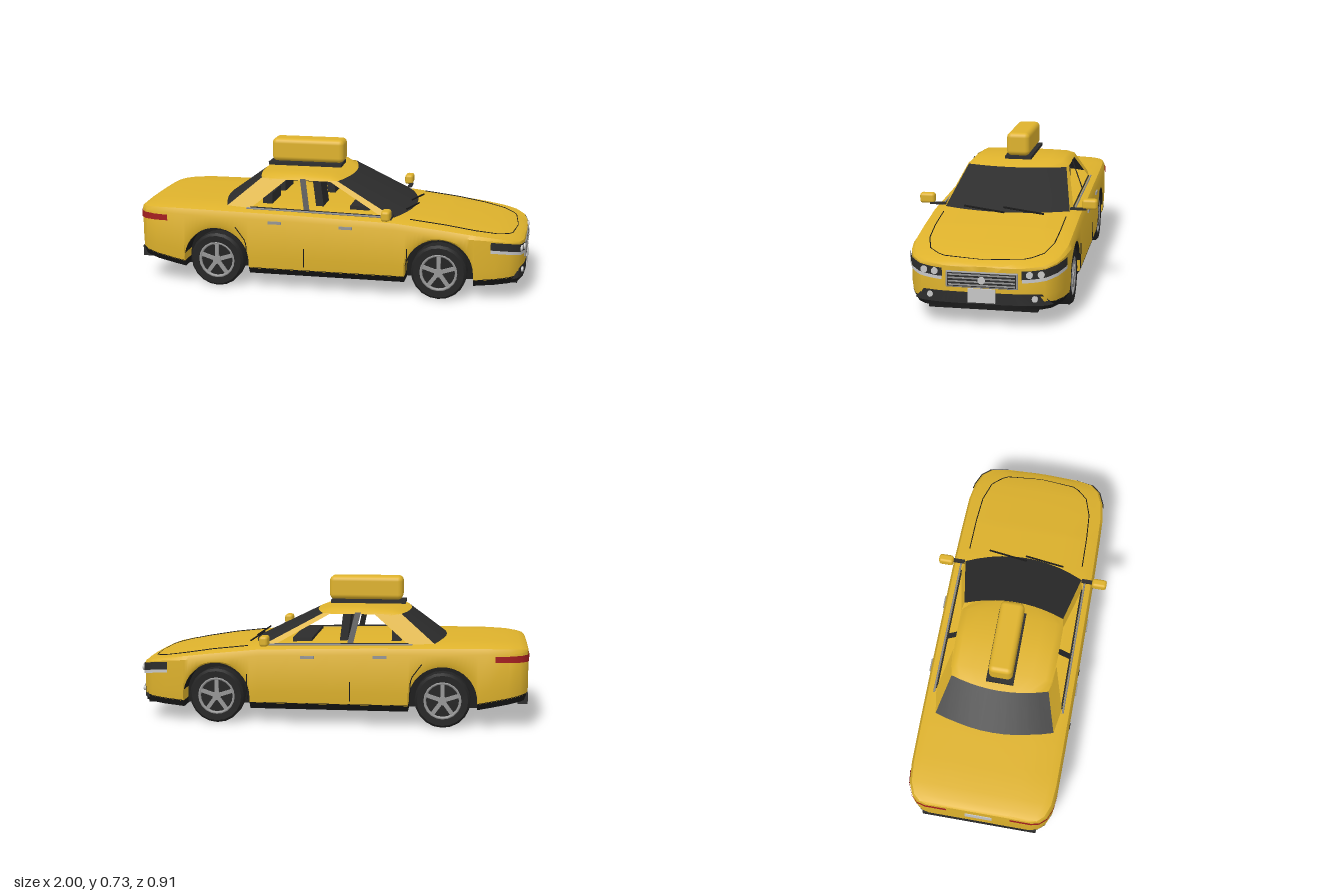
import * as THREE from 'three';
import { toCreasedNormals } from 'three/addons/utils/BufferGeometryUtils.js';
import { RoundedBoxGeometry } from 'three/addons/geometries/RoundedBoxGeometry.js';

const mat = (name, color) => new THREE.MeshStandardMaterial({ name, color, side: THREE.DoubleSide });
const yellow = mat('yellow paint', 0xdeb22c);
const glass = mat('dark glass', 0x2c2c2c);
const black = mat('black underside', 0x191919);
const rubber = mat('tyre rubber', 0x242424);
const silver = mat('silver', 0x969696);
const pale = mat('pale lamp', 0xc6c6c6);
const red = mat('red lamp', 0xa51f20);

// Body stations along the car: x, half width, deck height, shoulder depth
const plan = [
  [-1, 0.27, 0.395, 0.015], [-0.99, 0.31, 0.405, 0.02], [-0.96, 0.345, 0.413, 0.03], [-0.9, 0.37, 0.42, 0.04],
  [-0.8, 0.38, 0.424, 0.045], [-0.6, 0.383, 0.424, 0.05], [-0.2, 0.385, 0.418, 0.05], [0.35, 0.385, 0.404, 0.05],
  [0.6, 0.382, 0.376, 0.045], [0.75, 0.378, 0.352, 0.03], [0.85, 0.362, 0.335, 0.02], [0.92, 0.335, 0.32, 0.015],
  [0.965, 0.29, 0.304, 0.012], [0.985, 0.2, 0.294, 0.01], [0.99, 0.1, 0.29, 0.01],
];
const sillPts = [[-1, 0.175], [-0.745, 0.125], [-0.405, 0.11], [0.745, 0.11], [0.99, 0.128]];
const WX = 0.575, WY = 0.14, ARCH = 0.172;

function lookup(table, x, col) {
  let i = 0;
  while (i < table.length - 2 && x > table[i + 1][0]) i++;
  const a = table[i], b = table[i + 1];
  return THREE.MathUtils.lerp(a[col], b[col], THREE.MathUtils.clamp((x - a[0]) / (b[0] - a[0]), 0, 1));
}
const width = (x) => lookup(plan, x, 1);
const deck = (x) => lookup(plan, x, 2);
const sill = (x) => lookup(sillPts, x, 1);
function lowerEdge(x) {
  const d = Math.abs(Math.abs(x) - WX);
  return d < ARCH ? Math.max(sill(x), WY + Math.sqrt(ARCH * ARCH - d * d)) : sill(x);
}
// Nose position at a given distance from the centre line
const noseX = (z) => lookup(plan.slice(9).reverse().map((p) => [p[1], p[0]]), Math.abs(z), 1);

// Surface through rows of points
function surface(rows, closed = false, crease = 0.6) {
  const n = rows[0].length, idx = [];
  for (let i = 0; i < rows.length - 1; i++)
    for (let j = 0; j < (closed ? n : n - 1); j++) {
      const k = (j + 1) % n, a = i * n, b = a + n;
      idx.push(a + j, b + j, b + k, a + j, b + k, a + k);
    }
  const g = new THREE.BufferGeometry();
  g.setAttribute('position', new THREE.Float32BufferAttribute(rows.flat(2), 3));
  g.setIndex(idx);
  return toCreasedNormals(g, crease);
}
// Closed loft from mirrored half sections [y, z], capped at both ends
function loft(xs, section) {
  const rows = xs.map((x) => {
    const h = section(x);
    return [...h.map(([y, z]) => [x, y, z]), ...h.slice().reverse().map(([y, z]) => [x, y, -z])];
  });
  const cap = (r) => r.map(() => [r[0][0], (r[0][1] + r[r.length / 2][1]) / 2, 0]);
  return surface([cap(rows[0]), ...rows, cap(rows[rows.length - 1])], true);
}
const span = (a, b, n) => Array.from({ length: n + 1 }, (_, i) => a + ((b - a) * i) / n);

export function createModel() {
  const car = new THREE.Group();
  car.name = 'taxi';
  function add(name, geo, material, x = 0, y = 0, z = 0, parent = car) {
    const m = new THREE.Mesh(geo, material);
    m.name = name;
    m.position.set(x, y, z);
    parent.add(m);
    return m;
  }
  const box = (name, m, w, h, d, x, y, z, parent) => add(name, new THREE.BoxGeometry(w, h, d), m, x, y, z, parent);
  const line = (name, m, pts, r = 0.0025) => {
    const path = new THREE.CurvePath();
    const v = pts.map((p) => new THREE.Vector3(...p));
    for (let i = 1; i < v.length; i++) path.add(new THREE.LineCurve3(v[i - 1], v[i]));
    return add(name, new THREE.TubeGeometry(path, (v.length - 1) * 4, r, 4), m);
  };

  // Body shell with wheel arches
  const archXs = [-WX, WX].flatMap((c) => [c - ARCH - 0.001, ...span(0, Math.PI, 20).map((a) => c - Math.cos(a) * ARCH * 0.9999), c + ARCH + 0.001]);
  const bodyXs = [...plan.map((p) => p[0]), ...archXs, -0.4, 0, 0.2].sort((a, b) => a - b);
  add('body', loft(bodyXs, (x) => {
    const w = width(x), t = deck(x), s = t - lookup(plan, x, 3), b = lowerEdge(x);
    return [[b, w - 0.006], [b + (s - b) * 0.25, w], [s, w], [t - (t - s) * 0.4, w * 0.965], [t - 0.006, w * 0.86], [t, w * 0.5], [t + 0.001, 0.01]];
  }), yellow);

  // Underbody and sills
  const under = (x) => [[sill(x) - 0.032, width(x) * 0.93], [sill(x) + 0.004, width(x) - 0.004]];
  [[-1, -0.748], [-0.402, 0.402], [0.748, 0.99]].forEach(([a, b]) => {
    const xs = [a, ...plan.map((p) => p[0]).filter((x) => x > a && x < b), b];
    add('underbody', loft(xs, under), black);
  });
  box('chassis', black, 1.52, 0.23, 0.53, 0, 0.2, 0);
  box('frontSkirt', black, 0.2, 0.03, 0.51, 0.86, 0.092, 0);
  box('rearBumper', glass, 0.05, 0.055, 0.6, -0.975, 0.147, 0);

  // Wheels and wheel wells
  const tyre = new THREE.LatheGeometry([[0.095, -0.045], [0.128, -0.046], [0.14, -0.032], [0.14, 0.032], [0.128, 0.046], [0.095, 0.045]]
    .map(([r, y]) => new THREE.Vector2(r, y)), 20).rotateX(Math.PI / 2);
  const hub = new THREE.CylinderGeometry(0.022, 0.022, 0.02, 12).rotateX(Math.PI / 2);
  const disc = new THREE.CylinderGeometry(0.098, 0.098, 0.05, 20).rotateX(Math.PI / 2);
  for (const x of [-WX, WX]) for (const s of [-1, 1]) {
    const w = new THREE.Group();
    w.name = 'wheel';
    w.position.set(x, WY, s * 0.326);
    if (s < 0) w.rotation.y = Math.PI;
    car.add(w);
    add('tyre', toCreasedNormals(tyre, 0.5), rubber, 0, 0, 0, w);
    add('rimDisc', disc, rubber, 0, 0, 0.008, w);
    add('rimRing', new THREE.TorusGeometry(0.09, 0.008, 6, 20), silver, 0, 0, 0.037, w);
    add('hub', hub, silver, 0, 0, 0.037, w);
    for (let k = 0; k < 5; k++) {
      const a = Math.PI / 2 + (k * Math.PI * 2) / 5;
      const spoke = box('spoke', silver, 0.078, 0.02, 0.01, Math.cos(a) * 0.052, Math.sin(a) * 0.052, 0.037, w);
      spoke.rotation.z = a;
    }
    const arch = span(0, Math.PI, 20).map((t) => x - Math.cos(t) * (ARCH - 0.003));
    add('wheelWell', surface(arch.map((u) => [0.2, width(u) - 0.004].map((z) => [u, lowerEdge(u) - 0.003, s * z]))), black);
  }

  // Windscreen and rear window, bowed across the car
  const ts = span(-1, 1, 10);
  const bow = (x, k, y, z) => ts.map((t) => [x - k * t * t, y, z * t]);
  const screenTop = bow(0.09, 0.05, 0.56, 0.26), rearTop = bow(-0.4, -0.04, 0.56, 0.25);
  add('windscreen', surface([bow(0.415, 0.075, 0.4, 0.318), screenTop]), glass);
  add('rearWindow', surface([rearTop, bow(-0.595, -0.065, 0.418, 0.308)]), glass);

  // Roof
  const roofZ = [-1, -0.94, -0.86, -0.6, -0.3, 0, 0.3, 0.6, 0.86, 0.94, 1];
  const roofY = [0.558, 0.573, 0.583, 0.586, 0.587, 0.588];
  const roofRow = (x, z, drop) => roofZ.map((t, i) => [x, roofY[Math.min(i, 10 - i)] - drop, z * t]);
  add('roof', surface([rearTop, roofRow(-0.31, 0.262, 0.005), roofRow(-0.15, 0.268, 0), roofRow(0, 0.268, 0.001), screenTop], false, 0.9), yellow);

  for (const s of [-1, 1]) {
    // Pillars and window frame
    const quad = (name, m, a, b, c, d) => add(name, surface([[a, b], [d, c]].map((r) => r.map(([x, y, z]) => [x, y, z * s]))), m);
    quad('frontPillar', yellow, [0.34, 0.4, 0.318], [0.04, 0.56, 0.26], [-0.005, 0.562, 0.268], [0.285, 0.4, 0.33]);
    quad('rearPillar', yellow, [-0.53, 0.418, 0.308], [-0.36, 0.56, 0.25], [-0.22, 0.562, 0.268], [-0.4, 0.415, 0.33]);
    quad('rearRoofCorner', yellow, [-0.36, 0.56, 0.25], [-0.31, 0.556, 0.262], [-0.22, 0.562, 0.268], [-0.3, 0.55, 0.26]);
    quad('middlePillar', glass, [-0.155, 0.565, 0.267], [-0.125, 0.565, 0.267], [-0.09, 0.41, 0.33], [-0.12, 0.41, 0.33]);
    line('beltTrim', silver, [[-0.42, 0.416, s * 0.338], [0.32, 0.404, s * 0.338]], 0.005);
    line('windowSeal', glass, [[-0.4, 0.42, s * 0.328], [0.28, 0.407, s * 0.328]], 0.004);

    // Seats
    box('frontSeat', glass, 0.04, 0.14, 0.13, -0.07, 0.48, s * 0.15).rotation.z = 0.12;
    box('rearSeat', glass, 0.05, 0.06, 0.18, -0.335, 0.445, s * 0.14);

    // Mirror
    add('mirror', new RoundedBoxGeometry(0.045, 0.052, 0.078, 2, 0.014), yellow, 0.316, 0.436, s * 0.416);
    box('mirrorArm', glass, 0.02, 0.01, 0.08, 0.33, 0.412, s * 0.36);

    // Door seams and handles
    const seam = (pts) => line('doorSeam', black, pts.map(([x, y]) => [x, y, s * (width(x) + 0.0005)]));
    seam([[-0.11, 0.13], [-0.11, 0.23]]);
    seam([[-0.47, 0.325], [-0.415, 0.25], [-0.41, 0.13]]);
    seam([[0.415, 0.13], [0.415, 0.26]]);
    for (const [x, y] of [[0.105, 0.35], [-0.26, 0.358]]) box('doorHandle', silver, 0.068, 0.014, 0.012, x, y, s * 0.386);

    // Bonnet seam and wiper
    line('bonnetSeam', black, [[0.42, 0.31], [0.6, 0.308], [0.75, 0.3], [0.86, 0.268], [0.925, 0.2], [0.945, 0]]
      .map(([x, z]) => [x, deck(x) - (z > 0.25 ? 0.003 : 0), s * z]));
    line('wiper', black, [[0.425, 0.402, s * 0.1 - 0.1], [0.39, 0.42, s * 0.1 + 0.11]], 0.005);

    // Headlight bands wrapped round the nose
    const zs = [0.18, 0.2, 0.23, 0.26, 0.29, 0.3125, 0.335, 0.35, 0.362, 0.366];
    const band = (y0, y1, out) => surface(zs.map((z) => {
      const t = (z - 0.18) / 0.186, e = t * t * 0.032;
      return [y0, y1].map((y) => [noseX(z) + out, y + e, s * (z + out)]);
    }));
    add('headlightBand', band(0.238, 0.279, 0.005), glass);
    add('indicatorStrip', band(0.224, 0.24, 0.006), pale);
    const lamp = (name, r, y, z) => add(name, new THREE.CylinderGeometry(r, r, 0.014, 12).rotateZ(Math.PI / 2), pale, noseX(z) + 0.006, y, s * z);
    lamp('headlamp', 0.016, 0.262, 0.22);
    lamp('headlamp', 0.016, 0.264, 0.272);
    lamp('fogLamp', 0.014, 0.148, 0.244);

    // Tail light wrapped round the rear corner
    const tail = [[-1, 0.16], [-1, 0.27], [-0.99, 0.31], [-0.96, 0.345], [-0.9, 0.37], [-0.83, 0.3785]];
    add('tailLight', surface(tail.map(([x, z], i) => [0.335 + i * 0.001, 0.375 - i * 0.001].map((y) => [x - 0.003, y, s * (z + 0.003)]))), red);
  }

  // Lower intake, grille and plates
  add('lowerIntake', surface(span(-1, 1, 24).map((t) => [[0.325, 0.115], [0.275, 0.17]]
    .map(([z, y]) => [noseX(z * t) + 0.005, y, z * t]))), glass);
  add('grilleFrame', new RoundedBoxGeometry(0.014, 0.078, 0.336, 2, 0.006), silver, 0.988, 0.228, 0);
  box('grille', glass, 0.004, 0.064, 0.32, 0.994, 0.228, 0);
  for (const y of [0.204, 0.22, 0.236, 0.252]) box('grilleBar', silver, 0.004, 0.007, 0.312, 0.996, y, 0);
  add('grilleDisc', new THREE.CylinderGeometry(0.018, 0.018, 0.005, 10).rotateZ(Math.PI / 2), pale, 0.9975, 0.228, 0);
  box('frontPlate', pale, 0.008, 0.066, 0.128, 0.996, 0.155, 0);
  box('rearPlate', pale, 0.006, 0.06, 0.14, -1.001, 0.3, 0);
  box('dashboard', glass, 0.1, 0.03, 0.46, 0.15, 0.412, 0);

  // Roof sign
  box('signBase', glass, 0.39, 0.016, 0.14, -0.175, 0.597, 0);
  add('roofSign', new RoundedBoxGeometry(0.385, 0.122, 0.122, 3, 0.026), yellow, -0.162, 0.668, 0);
  return car;
}
